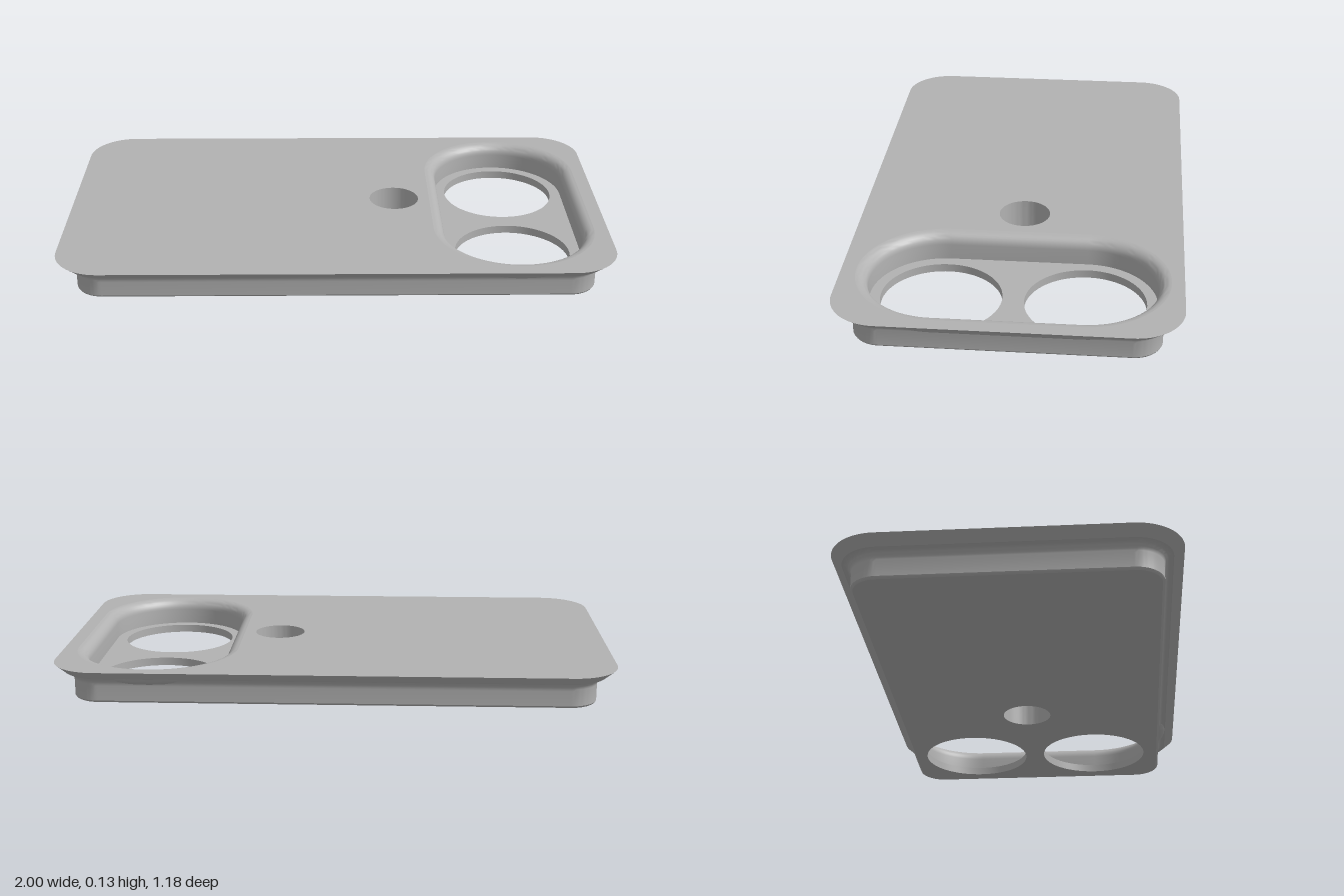
import * as THREE from 'three';
import { toCreasedNormals } from 'three/addons/utils/BufferGeometryUtils.js';

const HEIGHT = 0.13, FLOOR = 0.03;
const LENS_X = 0.655, POCKET_Z = -0.004;
const BODY = { x: 0, z: 0, hx: 1, hz: 0.59, r: 0.17 };
const POCKET = { x: LENS_X, z: POCKET_Z, hx: 0.295, hz: 0.542, r: 0.295 };
const circle = (x, z, r) => ({ x, z, hx: r, hz: r, r });
const LENSES = [-0.25, 0.25].map((dz) => circle(LENS_X, POCKET_Z + dz, 0.212));
const SMALL_HOLE = circle(0.225, -0.008, 0.093);

// Rounded rectangle outline (also covers stadiums and circles), moved inward by an inset
function outline({ x, z, hx, hz, r }, inset = 0, steps = 20) {
  const points = [];
  [[1, 1], [-1, 1], [-1, -1], [1, -1]].forEach(([sx, sz], corner) => {
    for (let i = 0; i <= steps; i++) {
      const a = (corner + i / steps) * Math.PI / 2;
      points.push(new THREE.Vector2(
        x + sx * (hx - r) + (r - inset) * Math.cos(a),
        z + sz * (hz - r) + (r - inset) * Math.sin(a)));
    }
  });
  return points;
}

// Wall swept round an outline; the profile lists [inset, y] from bottom to top
function wall(base, profile, inward = false) {
  const positions = [], index = [];
  const rings = profile.map(([inset]) => outline(base, inset));
  const n = rings[0].length;
  rings.forEach((ring, j) => ring.forEach((p) => positions.push(p.x, profile[j][1], p.y)));
  for (let j = 0; j < rings.length - 1; j++) {
    for (let i = 0; i < n; i++) {
      const a = j * n + i, b = j * n + (i + 1) % n, c = a + n, d = b + n;
      if (inward) index.push(a, b, c, b, d, c);
      else index.push(a, c, b, b, c, d);
    }
  }
  const geometry = new THREE.BufferGeometry();
  geometry.setAttribute('position', new THREE.Float32BufferAttribute(positions, 3));
  geometry.setIndex(index);
  return toCreasedNormals(geometry, 0.5);
}

// Flat horizontal face with cut-outs
function face(base, inset, holes, y, up = true) {
  const flip = (points) => points.map((p) => new THREE.Vector2(p.x, up ? -p.y : p.y));
  const shape = new THREE.Shape(flip(outline(base, inset)));
  shape.holes = holes.map((h) => new THREE.Path(flip(outline(h))));
  const geometry = new THREE.ShapeGeometry(shape);
  geometry.rotateX(up ? -Math.PI / 2 : Math.PI / 2);
  return geometry.translate(0, y, 0);
}

// Quarter-round profile points between two corners
function arc(cx, cy, rx, ry, from, to, steps = 8) {
  return Array.from({ length: steps + 1 }, (_, i) => {
    const a = THREE.MathUtils.lerp(from, to, i / steps);
    return [cx + rx * Math.cos(a), cy + ry * Math.sin(a)];
  });
}

export function createModel() {
  const group = new THREE.Group();
  group.name = 'cameraPlate';
  const grey = new THREE.MeshStandardMaterial({ color: 0xb2b2b2 });
  grey.name = 'plain grey';
  const add = (name, geometry) => {
    const mesh = new THREE.Mesh(geometry, grey);
    mesh.name = name;
    group.add(mesh);
  };

  // Side wall: softened foot, upright side and concave flare up to the lip
  add('sideWall', wall(BODY, [
    [0.078, 0], [0.073, 0.003], [0.07, 0.008],
    ...arc(0.035, 0.062, 0.035, 0.036, 0, Math.PI / 2).map(([d, y]) => [0.105 - d, y])
      .map(([d, y], i, all) => [0.07 - 0.033 * (1 - Math.cos(i / (all.length - 1) * Math.PI / 2)),
        0.062 + 0.036 * Math.sin(i / (all.length - 1) * Math.PI / 2)]),
  ]));
  // Bevelled lip around the top
  add('bevelledLip', wall(BODY, [[0.037, 0.098], [0, HEIGHT]]));

  // Flat top and underside
  add('topFace', face(BODY, 0, [POCKET, SMALL_HOLE], HEIGHT));
  add('underside', face(BODY, 0.078, [...LENSES, SMALL_HOLE], 0, false));

  // Recessed pocket with a rounded rim
  add('pocketWall', wall(POCKET, [
    [0.042, FLOOR], ...arc(0, HEIGHT - 0.042, 0.042, 0.042, 0, Math.PI / 2),
  ], true));
  add('pocketFloor', face(POCKET, 0.042, LENSES, FLOOR));

  // Outside of the pocket rim, swelling through the flare under the lip
  add('pocketBulge', wall(POCKET, [
    [0.035, 0.066], [0.018, 0.071], [0.004, 0.079], [-0.008, 0.09], [-0.014, 0.099],
  ]));

  // Through holes
  LENSES.forEach((lens, i) => add(`lensHole${i + 1}`, wall(lens, [[0, 0], [0, FLOOR]], true)));
  add('smallHole', wall(SMALL_HOLE, [[0, 0], [0, HEIGHT]], true));
  return group;
}
